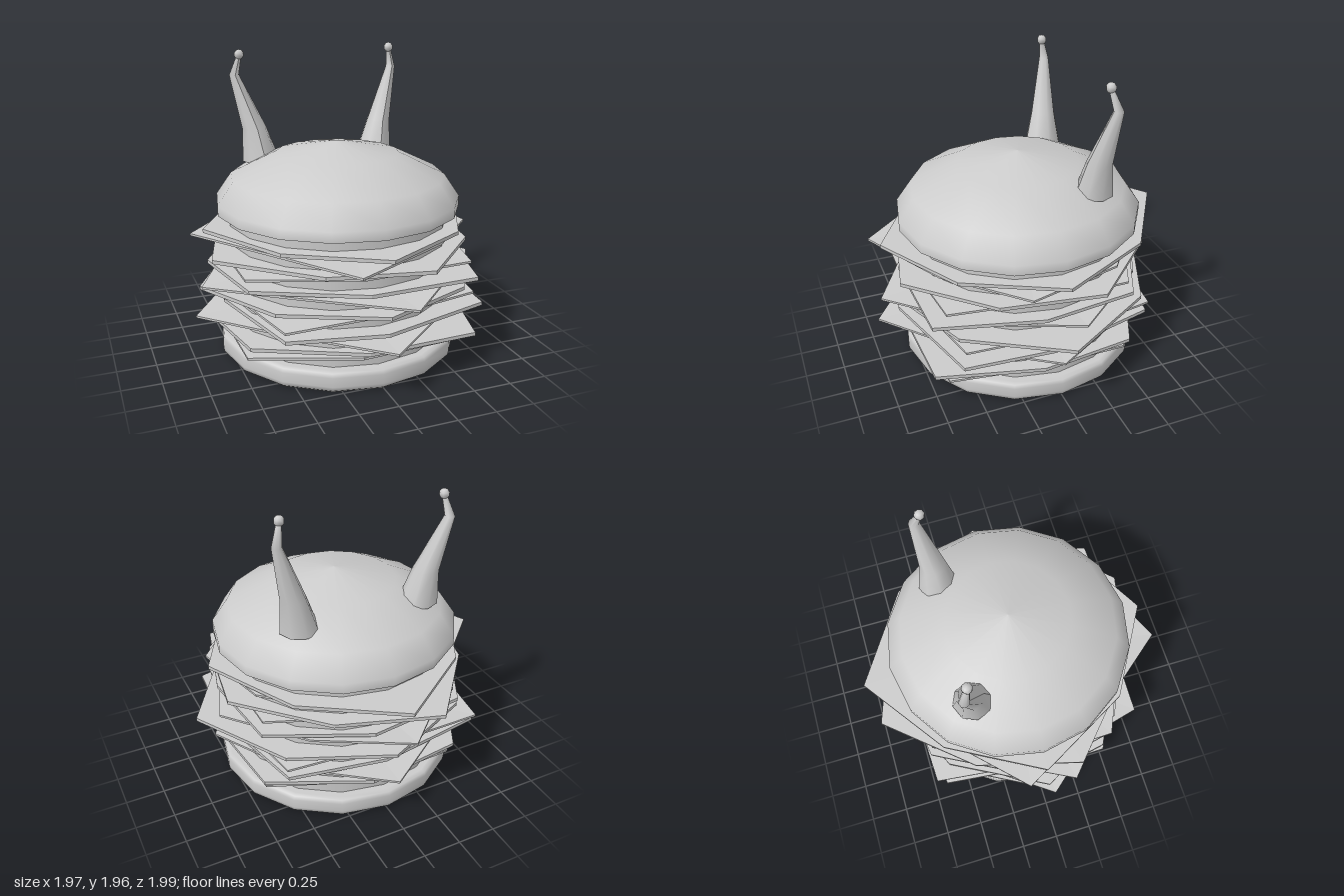
import * as THREE from 'three';

const SIDES = 16;
const CENTRE_X = -0.01;
const smooth = new THREE.MeshStandardMaterial({ color: 0xcccccc });
const faceted = new THREE.MeshStandardMaterial({ color: 0xcccccc, flatShading: true });

function add(parent, name, geometry, material = smooth) {
  const mesh = new THREE.Mesh(geometry, material);
  mesh.name = name;
  parent.add(mesh);
  return mesh;
}

// Lathed bun with a flat underside
function bun(parent, name, profile) {
  const group = new THREE.Group();
  group.name = name;
  group.position.x = CENTRE_X;
  parent.add(group);
  add(group, name + 'Crust', new THREE.LatheGeometry(profile.map(p => new THREE.Vector2(...p)), SIDES));
  const base = new THREE.CircleGeometry(profile[0][0], SIDES).rotateX(Math.PI / 2);
  base.translate(0, profile[0][1], 0);
  add(group, name + 'Underside', base);
}

// Thin eight-sided slice; outline [x, z] runs from front towards +x,
// with protruding corners at even places, which may droop
function slice(y, thickness, droop, outline) {
  const geo = new THREE.CylinderGeometry(1, 1, thickness, 8, 1);
  const p = geo.attributes.position;
  for (let i = 0; i < p.count; i++) {
    const x = p.getX(i), z = p.getZ(i);
    if (Math.hypot(x, z) < 0.5) {
      p.setY(i, y + p.getY(i));
      continue;
    }
    const k = (Math.round(Math.atan2(x, z) / (Math.PI / 4)) + 8) % 8;
    p.setXYZ(i, outline[k][0], y + p.getY(i) - (k % 2 ? 0 : droop), outline[k][1]);
  }
  geo.computeVertexNormals();
  return geo;
}

// Bent, tapering stalk through rings [x, y, z, radius]
function stalk(rings) {
  const geo = new THREE.CylinderGeometry(1, 1, 1, 8, rings.length - 1, true);
  const p = geo.attributes.position;
  for (let i = 0; i < p.count; i++) {
    const [x, y, z, r] = rings[Math.round((p.getY(i) + 0.5) * (rings.length - 1))];
    p.setXYZ(i, x + p.getX(i) * r, y, z + p.getZ(i) * r);
  }
  geo.computeVertexNormals();
  return geo;
}

export function createModel() {
  const model = new THREE.Group();
  model.name = 'antennaBurger';

  // Buns
  bun(model, 'bottomBun', [[0.77, 0], [0.795, 0.02], [0.8, 0.045], [0.8, 0.105], [0.79, 0.13], [0.765, 0.14], [0, 0.14]]);
  bun(model, 'topBun', [[0.8, 0.955], [0.8, 1.02], [0.7, 1.165], [0.4, 1.31], [0, 1.385]]);

  // Patties fill the stack between the cheese slices
  const levels = [0.14, 0.255, 0.38, 0.5, 0.625, 0.75, 0.87, 0.957];
  for (let i = 0; i < levels.length - 1; i++) {
    const h = levels[i + 1] - levels[i];
    const geo = new THREE.CylinderGeometry(0.725, 0.725, h, SIDES);
    add(model, 'patty', geo.translate(CENTRE_X, levels[i] + h / 2, 0));
  }

  // Cheese slices, each turned differently
  const turned = [[0.62, 0.78], [0.79, 0.12], [0.72, -0.5], [0.1, -0.79], [-0.55, -0.7], [-0.87, -0.1], [-0.75, 0.5], [-0.1, 0.81]];
  const cheeses = [
    turned,
    [[0.75, 0.63], [0.79, 0.05], [0.62, -0.66], [0, -0.77], [-0.72, -0.65], [-0.79, 0], [-0.6, 0.73], [0, 0.85]],
    [[0, 0.88], [0.62, 0.62], [0.98, 0], [0.62, -0.62], [0, -0.89], [-0.62, -0.6], [-0.95, 0.02], [-0.62, 0.6]],
    turned,
    [[0.28, 0.88], [0.74, 0.4], [0.84, -0.25], [0.36, -0.75], [-0.28, -0.96], [-0.73, -0.43], [-0.91, 0.25], [-0.36, 0.75]],
    [[-0.01, 0.93], [0.57, 0.6], [0.87, 0], [0.56, -0.62], [-0.03, -1], [-0.58, -0.6], [-0.91, 0], [-0.58, 0.6]],
  ];
  cheeses.forEach((c, i) => add(model, 'cheeseSlice', slice(levels[i + 1], 0.023, 0, c), faceted));

  // Lettuce leaves with drooping corners
  const small = [[0.62, 0.69], [0.72, 0.15], [0.7, -0.47], [0.12, -0.73], [-0.52, -0.68], [-0.79, -0.12], [-0.77, 0.5], [-0.13, 0.78]];
  const leaves = [
    [0.22, 0.02, small],
    [0.352, 0.03, [[0, 0.99], [0.55, 0.55], [0.86, 0.02], [0.55, -0.56], [0, -0.93], [-0.57, -0.55], [-0.99, 0.06], [-0.56, 0.57]]],
    [0.472, 0.02, [[0.7, 0.6], [0.76, 0], [0.63, -0.67], [-0.05, -0.74], [-0.7, -0.71], [-0.79, 0.05], [-0.61, 0.76], [0.05, 0.77]]],
    [0.6, 0.03, [[0.13, 0.98], [0.65, 0.48], [0.86, -0.12], [0.46, -0.64], [-0.12, -0.92], [-0.65, -0.44], [-0.97, 0.2], [-0.48, 0.64]]],
    [0.722, 0.02, small],
    [0.842, 0.03, [[-0.22, 0.97], [0.42, 0.67], [0.82, 0.22], [0.7, -0.38], [0.15, -0.8], [-0.46, -0.65], [-0.97, -0.13], [-0.66, 0.43]]],
  ];
  for (const [y, droop, c] of leaves) add(model, 'lettuceLeaf', slice(y, 0.014, droop, c), faceted);

  // Antennae with ball tips
  const antennae = {
    rightAntenna: [[-0.425, 1.21, -0.35, 0.127], [-0.463, 1.43, -0.365, 0.083], [-0.577, 1.78, -0.415, 0.033], [-0.547, 1.91, -0.385, 0.016]],
    leftAntenna: [[0.395, 1.21, -0.35, 0.127], [0.433, 1.43, -0.36, 0.083], [0.542, 1.795, -0.41, 0.033], [0.507, 1.925, -0.37, 0.016]],
  };
  for (const [name, rings] of Object.entries(antennae)) {
    const group = new THREE.Group();
    group.name = name;
    model.add(group);
    add(group, 'stalk', stalk(rings));
    const [x, y, z] = rings[rings.length - 1];
    add(group, 'tip', new THREE.SphereGeometry(0.033, 8, 5).translate(x, y + 0.005, z));
  }
  return model;
}
